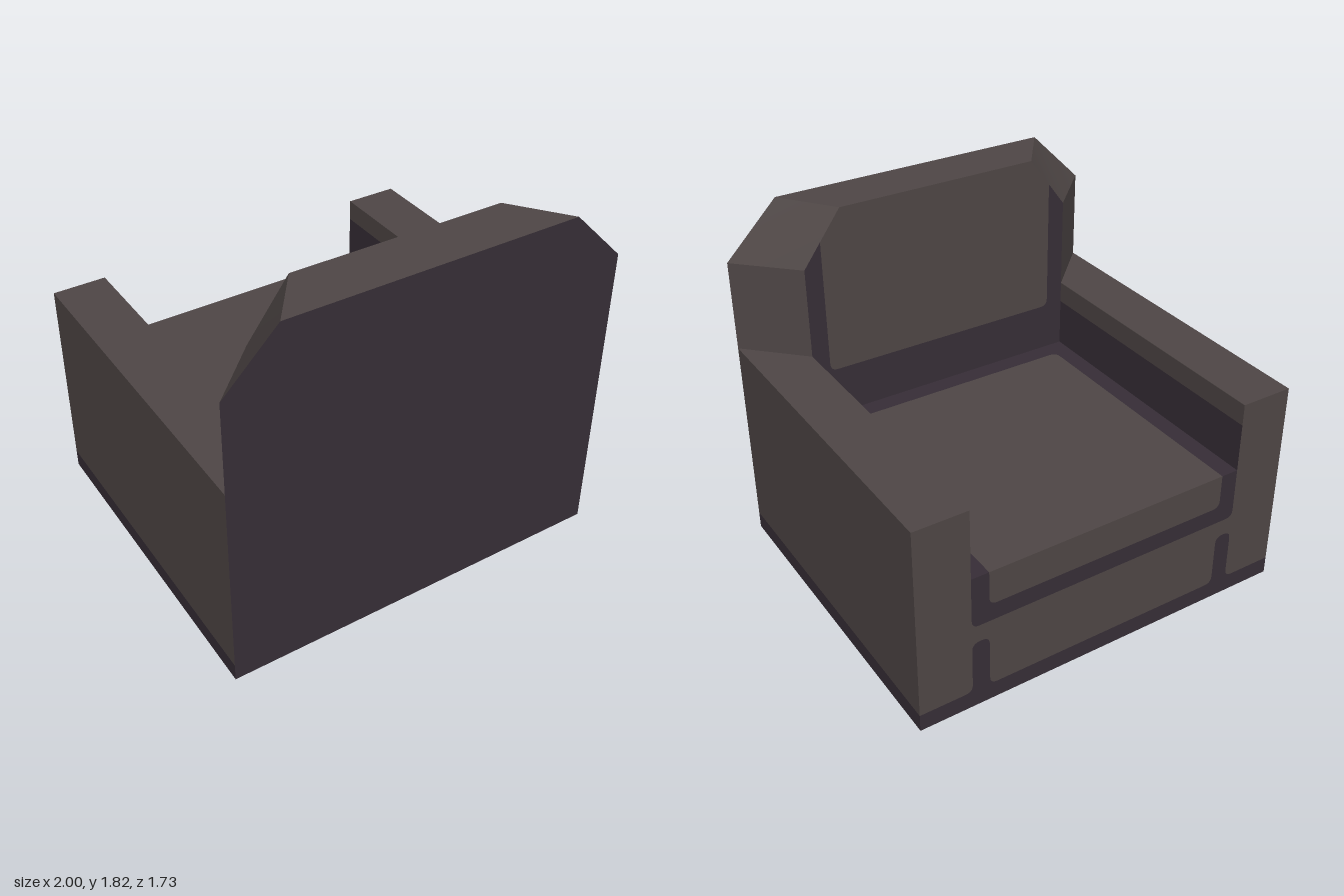
import * as THREE from 'three';

const W = 1, D = 0.865, H = 1.82;             // half width, half depth, height
const IN = 0.73, BZ = 0.595;                  // inner face of arms, front face of backrest
const ARM = 1.09, SEAT = 0.73, SHOULDER = 1.55;
const P = 0.64, SKIRT = 0.09, R = 0.04;       // panel half width, skirt height, corner radius
const TRIM = 0.98;                            // bottom of the backrest and arm panels

const fabric = new THREE.MeshStandardMaterial({ color: 0x4f4746, side: THREE.DoubleSide });
fabric.name = 'fabric';
const darkTrim = new THREE.MeshStandardMaterial({ color: 0x372e37, side: THREE.DoubleSide });
darkTrim.name = 'darkTrim';

// Closed outline from [x, y, cornerRadius] points
function outline(points) {
  const shape = new THREE.Shape();
  const n = points.length;
  points.forEach(([x, y, r = 0], i) => {
    const corner = new THREE.Vector2(x, y);
    const toward = (q) => new THREE.Vector2(q[0], q[1]).sub(corner).setLength(r).add(corner);
    const a = r ? toward(points[(i + n - 1) % n]) : corner;
    if (i === 0) shape.moveTo(a.x, a.y);
    else shape.lineTo(a.x, a.y);
    if (r) {
      const b = toward(points[(i + 1) % n]);
      shape.quadraticCurveTo(x, y, b.x, b.y);
    }
  });
  return shape;
}

// Flat sheet: an outline laid into space by place(u, v) -> [x, y, z]
function sheet(parent, name, material, points, place) {
  const geometry = new THREE.ShapeGeometry(outline(points), 5);
  const pos = geometry.attributes.position;
  for (let i = 0; i < pos.count; i++) pos.setXYZ(i, ...place(pos.getX(i), pos.getY(i)));
  geometry.computeVertexNormals();
  const mesh = new THREE.Mesh(geometry, material);
  mesh.name = name;
  parent.add(mesh);
}

// Flat four-cornered face
function quad(parent, name, material, a, b, c, d) {
  const geometry = new THREE.BufferGeometry();
  geometry.setAttribute('position', new THREE.Float32BufferAttribute([a, b, c, d].flat(), 3));
  geometry.setIndex([0, 1, 2, 0, 2, 3]);
  geometry.computeVertexNormals();
  const mesh = new THREE.Mesh(geometry, material);
  mesh.name = name;
  parent.add(mesh);
}

function part(parent, name) {
  const group = new THREE.Group();
  group.name = name;
  parent.add(group);
  return group;
}

export function createModel() {
  const model = new THREE.Group();
  model.name = 'armchair';

  // Front face: skirt with two slots, body, groove and cushion edge
  const front = part(model, 'seatFront');
  const onFront = (u, v) => [-u, v, -D];
  const skirtEdge = [
    [-W, SKIRT], [-IN, SKIRT, R], [-IN, 0.37, R], [-P, 0.37, R], [-P, SKIRT, R],
    [P, SKIRT, R], [P, 0.37, R], [IN, 0.37, R], [IN, SKIRT, R], [W, SKIRT],
  ];
  sheet(front, 'frontSkirt', darkTrim, [...skirtEdge, [W, 0], [-W, 0]], onFront);
  sheet(front, 'frontBody', fabric, [
    ...skirtEdge, [W, ARM], [IN, ARM], [IN, 0.46, R], [-IN, 0.46, R], [-IN, ARM], [-W, ARM],
  ], onFront);
  sheet(front, 'cushionGroove', darkTrim, [
    [-IN, SEAT], [-IN, 0.46, R], [IN, 0.46, R], [IN, SEAT],
    [P, SEAT], [P, 0.55, R], [-P, 0.55, R], [-P, SEAT],
  ], onFront);
  sheet(front, 'cushionEdge', fabric, [
    [-P, SEAT], [-P, 0.55, R], [P, 0.55, R], [P, SEAT],
  ], onFront);

  // Seat top with dark border on three sides
  const seat = part(model, 'seat');
  const onSeat = (u, v) => [u, SEAT, -v];
  sheet(seat, 'seatCushion', fabric, [[-P, D], [-P, -0.5, R], [P, -0.5, R], [P, D]], onSeat);
  sheet(seat, 'seatBorder', darkTrim, [
    [-IN, D], [-IN, -BZ], [IN, -BZ], [IN, D],
    [P, D], [P, -0.5, R], [-P, -0.5, R], [-P, D],
  ], onSeat);

  // Backrest: front panel with trim, plain rear, bevelled rim
  const back = part(model, 'backrest');
  const onBack = (u, v) => [-u, v, BZ];
  const topIn = 0.53, topOut = 0.73;
  const cutY = SHOULDER + (H - SHOULDER) * (IN - P) / (IN - topIn);
  sheet(back, 'backrestPanel', fabric, [
    [-P, TRIM, R], [P, TRIM, R], [P, cutY], [topIn, H], [-topIn, H], [-P, cutY],
  ], onBack);
  sheet(back, 'backrestTrim', darkTrim, [
    [-IN, SEAT], [IN, SEAT], [IN, SHOULDER], [P, cutY], [P, TRIM, R],
    [-P, TRIM, R], [-P, cutY], [-IN, SHOULDER],
  ], onBack);
  sheet(back, 'rearFace', darkTrim, [
    [-W, 0], [W, 0], [W, SHOULDER], [topOut, H], [-topOut, H], [-W, SHOULDER],
  ], (u, v) => [u, v, D]);
  quad(back, 'backrestTop', fabric,
    [-topOut, H, D], [topOut, H, D], [topIn, H, BZ], [-topIn, H, BZ]);

  // Mirrored arms and backrest sides
  for (const s of [1, -1]) {
    const side = part(model, s > 0 ? 'leftArm' : 'rightArm');
    const face = (name, material, ...c) => {
      const corners = c.map(([x, y, z]) => [s * x, y, z]);
      if (s < 0) corners.reverse();
      quad(side, name, material, ...corners);
    };
    face('armOuter', fabric, [W, SKIRT, D], [W, SKIRT, -D], [W, ARM, -D], [W, ARM, D]);
    face('armSkirt', darkTrim, [W, 0, D], [W, 0, -D], [W, SKIRT, -D], [W, SKIRT, D]);
    face('armTop', fabric, [W, ARM, D], [W, ARM, -D], [IN, ARM, -D], [IN, ARM, BZ]);
    face('armInner', fabric, [IN, TRIM, -D], [IN, TRIM, BZ], [IN, ARM, BZ], [IN, ARM, -D]);
    face('armInnerTrim', darkTrim, [IN, SEAT, -D], [IN, SEAT, BZ], [IN, TRIM, BZ], [IN, TRIM, -D]);
    face('backrestSide', fabric,
      [W, ARM, D], [IN, ARM, BZ], [IN, SHOULDER, BZ], [W, SHOULDER, D]);
    face('backrestShoulder', fabric,
      [W, SHOULDER, D], [IN, SHOULDER, BZ], [topIn, H, BZ], [topOut, H, D]);
  }
  return model;
}
